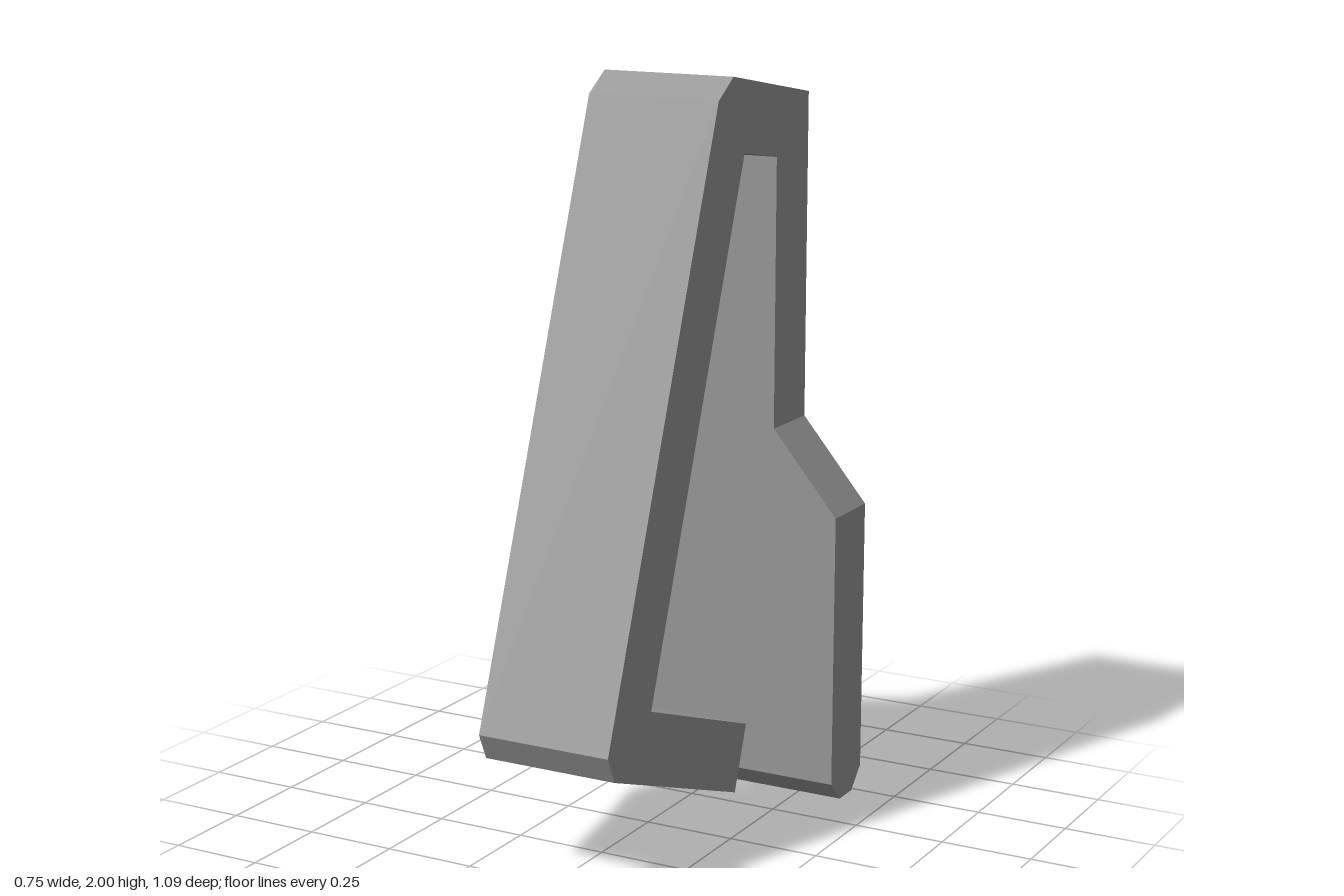
import * as THREE from 'three';

const HALF_WIDTH = 0.188; // half width of the strap
const BACK = -0.543, FRONT = -0.356; // z range of the back plate
const SHOULDER = 1.037; // height where the plate begins to widen

const material = new THREE.MeshStandardMaterial({ color: 0x999999, flatShading: true });

// Bent strap: a side profile in (z, y), extruded across x
function strapGeometry() {
  const profile = [
    [BACK, SHOULDER], [FRONT, SHOULDER], [FRONT, 1.768], [-0.171, 1.8], // inside of the stem and top
    [0.323, 0.44], [-0.206, 0.248], [-0.143, 0.072], // inside of the arm and hook tip
    [0.511, 0.31], [0.543, 0.381], // chamfered lower bend
    [-0.026, 1.946], [-0.106, 2], [BACK, 1.923], // chamfered upper bend
  ].map(([z, y]) => new THREE.Vector2(z, y));
  const geometry = new THREE.ExtrudeGeometry(new THREE.Shape(profile), {
    depth: 2 * HALF_WIDTH, bevelEnabled: false,
  });
  return geometry.rotateY(-Math.PI / 2).translate(HALF_WIDTH, 0, 0);
}

// Wide plate: rectangular sections stacked from the chamfered foot to the shoulder
function plateGeometry() {
  const sections = [ // y, half width, inset in z
    [0, 0.375, 0.056], [0.058, 0.375, 0], [0.811, 0.375, 0], [SHOULDER, HALF_WIDTH, 0],
  ];
  const positions = [], index = [];
  for (const [y, w, inset] of sections) {
    const f = FRONT - inset, b = BACK + inset;
    positions.push(-w, y, f, w, y, f, w, y, b, -w, y, b);
  }
  for (let s = 0; s < sections.length - 1; s++) {
    for (let i = 0; i < 4; i++) {
      const a = s * 4 + i, b = s * 4 + (i + 1) % 4;
      index.push(a, b, b + 4, a, b + 4, a + 4);
    }
  }
  index.push(0, 2, 1, 0, 3, 2); // underside
  const indexed = new THREE.BufferGeometry();
  indexed.setAttribute('position', new THREE.Float32BufferAttribute(positions, 3));
  indexed.setIndex(index);
  const geometry = indexed.toNonIndexed();
  geometry.computeVertexNormals();
  return geometry;
}

export function createModel() {
  const group = new THREE.Group();
  group.name = 'clip';
  const add = (name, geometry) => {
    const mesh = new THREE.Mesh(geometry, material);
    mesh.name = name;
    group.add(mesh);
  };
  add('bentStrap', strapGeometry());
  add('backPlate', plateGeometry());
  return group;
}
